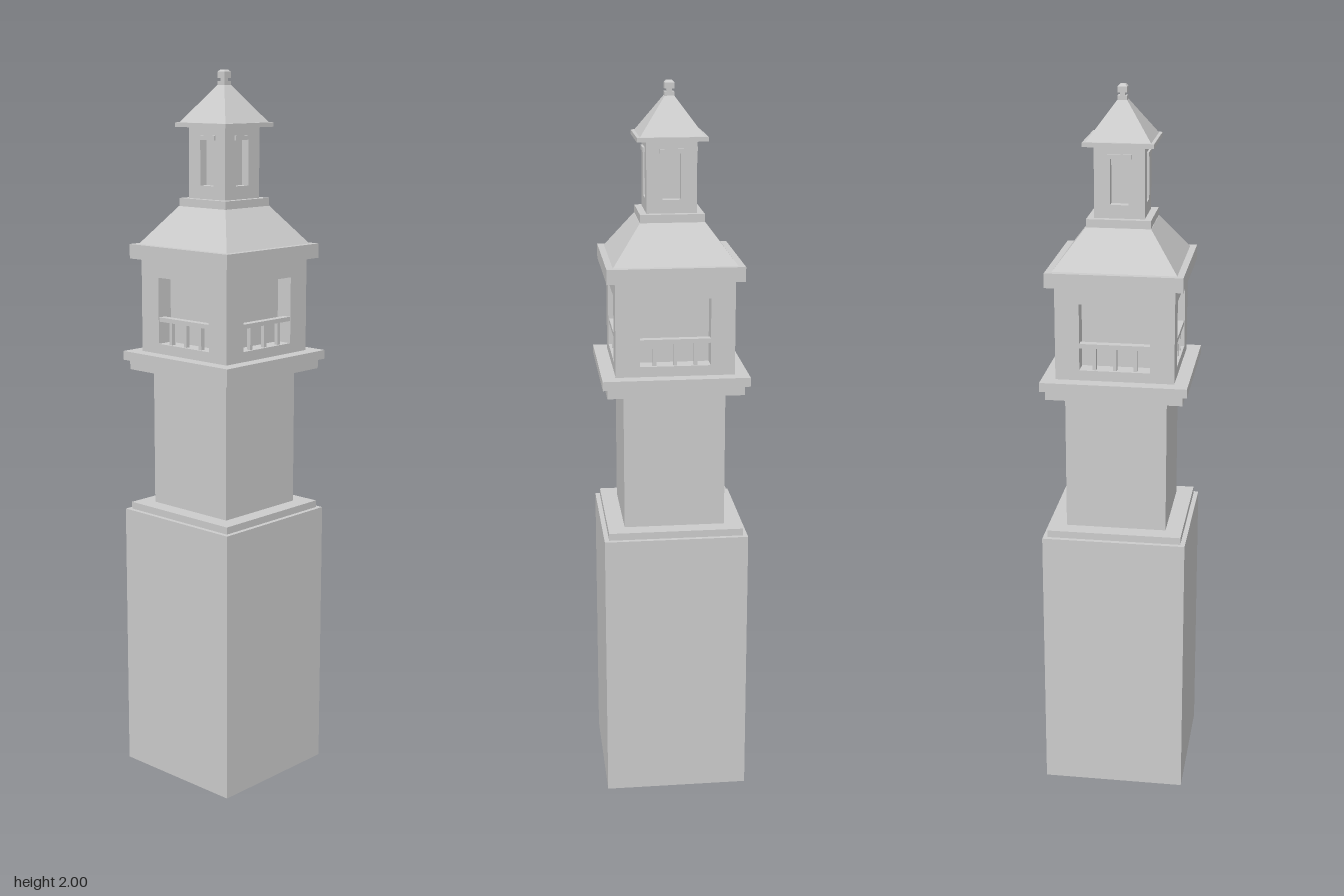
import * as THREE from 'three';

const material = new THREE.MeshStandardMaterial({ color: 0xcccccc, flatShading: true });
const shellMaterial = new THREE.MeshStandardMaterial({ color: 0xcccccc, flatShading: true, side: THREE.DoubleSide });

function addMesh(parent, name, geometry, mat = material) {
  const mesh = new THREE.Mesh(geometry, mat);
  mesh.name = name;
  parent.add(mesh);
  return mesh;
}

// Square block from half-width and height range
function block(parent, name, half, y0, y1) {
  const mesh = addMesh(parent, name, new THREE.BoxGeometry(half * 2, y1 - y0, half * 2));
  mesh.position.y = (y0 + y1) / 2;
  return mesh;
}

// Four-sided tapered block
function frustum(parent, name, halfBottom, halfTop, y0, y1) {
  const g = new THREE.CylinderGeometry(halfTop * Math.SQRT2, halfBottom * Math.SQRT2, y1 - y0, 4);
  g.rotateY(Math.PI / 4);
  const mesh = addMesh(parent, name, g);
  mesh.position.y = (y0 + y1) / 2;
  return mesh;
}

// Calls build(side) for each of the four faces, each group turned to its face
function onFourSides(parent, name, build) {
  for (let i = 0; i < 4; i++) {
    const side = new THREE.Group();
    side.name = name;
    side.rotation.y = i * Math.PI / 2;
    build(side);
    parent.add(side);
  }
}

// Wall with a rectangular opening; the four walls interlock at the corners
function wall(parent, name, half, depth, y0, y1, openHalf, openY0, openY1) {
  const shape = new THREE.Shape();
  shape.moveTo(-half, y0).lineTo(half - depth, y0).lineTo(half - depth, y1).lineTo(-half, y1).closePath();
  const hole = new THREE.Path();
  hole.moveTo(-openHalf, openY0).lineTo(-openHalf, openY1).lineTo(openHalf, openY1).lineTo(openHalf, openY0).closePath();
  shape.holes.push(hole);
  const g = new THREE.ExtrudeGeometry(shape, { depth, bevelEnabled: false });
  g.translate(0, 0, half - depth);
  return addMesh(parent, name, g);
}

function bar(parent, name, w, h, d, x, y, z) {
  addMesh(parent, name, new THREE.BoxGeometry(w, h, d)).position.set(x, y, z);
}

export function createModel() {
  const model = new THREE.Group();
  model.name = 'squareTower';

  // Hollow base, open underneath
  const profile = [[0.2, 0], [0.2, 0.77], [0, 0.77]].map(([r, y]) => new THREE.Vector2(r * Math.SQRT2, y));
  addMesh(model, 'base', new THREE.LatheGeometry(profile, 4, Math.PI / 4), shellMaterial);

  // Shaft and gallery ledge
  block(model, 'baseStep', 0.187, 0.77, 0.79);
  block(model, 'shaft', 0.14, 0.79, 1.178);
  block(model, 'lowerLedge', 0.187, 1.178, 1.205);
  block(model, 'upperLedge', 0.2, 1.205, 1.23);

  // Chamber with recessed balconies
  block(model, 'chamberCore', 0.115, 1.23, 1.49);
  onFourSides(model, 'chamberSide', (side) => {
    wall(side, 'chamberWall', 0.162, 0.047, 1.23, 1.49, 0.096, 1.258, 1.442);
    bar(side, 'balconyRail', 0.192, 0.012, 0.022, 0, 1.326, 0.149);
    for (const x of [-0.056, 0, 0.056]) {
      bar(side, 'balconyPost', 0.01, 0.062, 0.012, x, 1.289, 0.149);
    }
  });

  // Main roof
  block(model, 'mainEave', 0.185, 1.49, 1.53);
  frustum(model, 'mainRoof', 0.167, 0.088, 1.53, 1.634);
  block(model, 'lanternPlinth', 0.087, 1.63, 1.656);

  // Lantern with narrow niches
  block(model, 'lanternCore', 0.044, 1.656, 1.848);
  onFourSides(model, 'lanternSide', (side) => {
    wall(side, 'lanternWall', 0.068, 0.024, 1.656, 1.848, 0.025, 1.692, 1.815);
    bar(side, 'windowLintel', 0.064, 0.012, 0.012, 0, 1.821, 0.068);
  });

  // Lantern roof and finial
  block(model, 'lanternEave', 0.095, 1.848, 1.86);
  frustum(model, 'lanternRoof', 0.086, 0.011, 1.86, 1.962);
  block(model, 'finialBase', 0.013, 1.958, 1.97);
  block(model, 'finialNeck', 0.007, 1.97, 1.98);
  block(model, 'finialKnob', 0.013, 1.978, 1.994);
  frustum(model, 'finialCap', 0.013, 0.007, 1.994, 2.0);

  return model;
}
